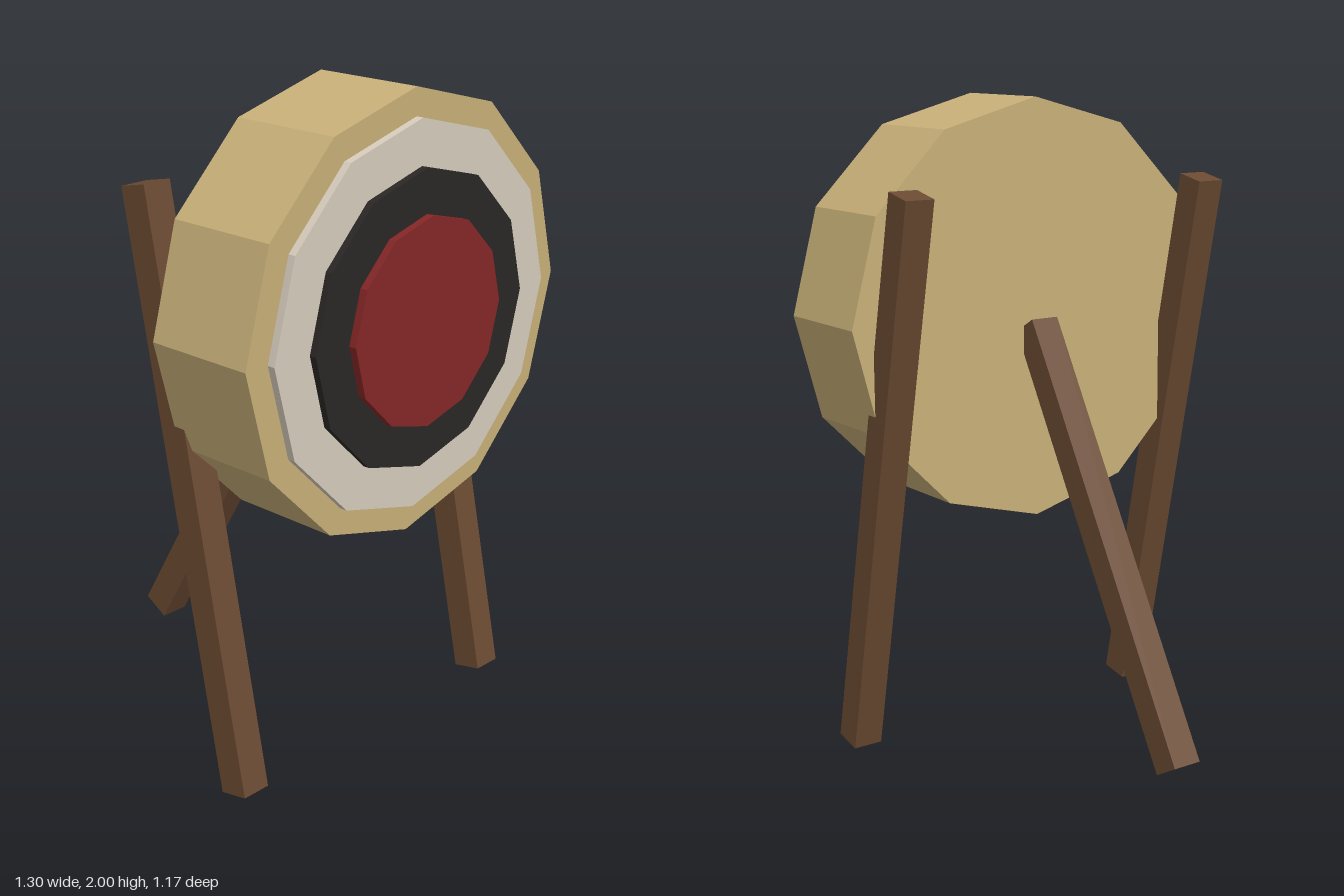
import * as THREE from 'three';

const CENTRE_Y = 1.353;

function material(color) {
  return new THREE.MeshStandardMaterial({ color, flatShading: true });
}

// Twelve-sided disc facing +z, spanning zBack to zFront
function disc(name, radius, zBack, zFront, color) {
  const geometry = new THREE.CylinderGeometry(radius, radius, zFront - zBack, 12);
  geometry.rotateX(Math.PI / 2);
  const mesh = new THREE.Mesh(geometry, material(color));
  mesh.name = name;
  mesh.position.set(0, CENTRE_Y, (zBack + zFront) / 2);
  return mesh;
}

// Square beam between two [y, z] points at a given x
function beam(name, x, [y0, z0], [y1, z1], mat) {
  const length = Math.hypot(y1 - y0, z1 - z0);
  const mesh = new THREE.Mesh(new THREE.BoxGeometry(0.094, length, 0.094), mat);
  mesh.name = name;
  mesh.position.set(x, (y0 + y1) / 2, (z0 + z1) / 2);
  mesh.rotation.x = Math.atan2(z1 - z0, y1 - y0);
  return mesh;
}

export function createModel() {
  const group = new THREE.Group();
  group.name = 'archeryTarget';

  // Straw body and stacked target rings
  group.add(
    disc('strawBody', 0.648, 0.164, 0.517, 0xc8b078),
    disc('outerRing', 0.567, 0.5, 0.541, 0xd6ccbc),
    disc('middleRing', 0.435, 0.52, 0.563, 0x2a2725),
    disc('bullseye', 0.306, 0.54, 0.587, 0x852626)
  );

  // Leaning front legs and the rear prop
  const wood = material(0x6b4a32);
  for (const [name, side] of [['leftLeg', 1], ['rightLeg', -1]]) {
    group.add(beam(name, side * 0.531, [0.01, 0.385], [1.746, 0.016], wood));
  }
  group.add(beam('rearLeg', 0, [0.092, -0.543], [1.312, 0.161], wood));

  return group;
}
